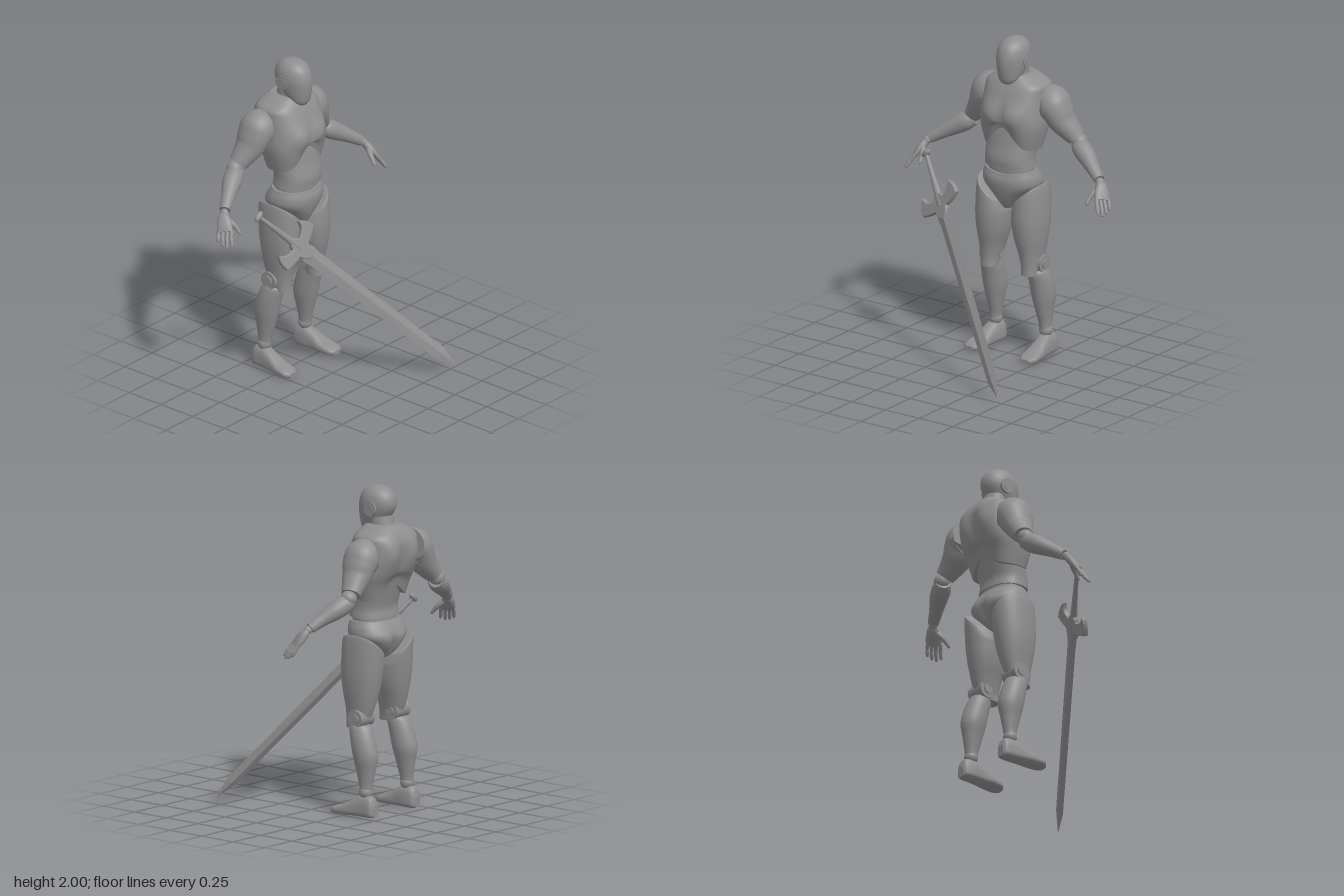
import * as THREE from 'three';

const V = (x, y, z) => new THREE.Vector3(x, y, z);
const bump = (d, w) => Math.exp(-((d / w) ** 2));
const sPow = (v, p) => Math.sign(v) * Math.abs(v) ** (2 / p);

// Lofted skin through rows [x, y, z, sideRadius, frontRadius, backRadius?]
function loft(rows, { front = V(0, 0, 1), axis = null, side = 1, n = 32, pow = 2, steps = 6, deform = null, sharp = false } = {}) {
  const centres = new THREE.CatmullRomCurve3(rows.map(r => V(r[0] * side, r[1], r[2])), false, 'catmullrom');
  const radii = new THREE.CatmullRomCurve3(rows.map(r => V(r[3], r[4], r[5] ?? r[4])), false, 'catmullrom');
  const m = (rows.length - 1) * steps, pos = [], idx = [];
  for (let i = 0; i <= m; i++) {
    const c = centres.getPoint(i / m), r = radii.getPoint(i / m);
    const T = axis ? axis.clone() : centres.getTangent(i / m);
    const F = V(front.x * side, front.y, front.z);
    F.addScaledVector(T, -F.dot(T)).normalize();
    const S = T.clone().cross(F);
    for (let j = 0; j < n; j++) {
      const a = j / n * Math.PI * 2, sn = Math.sin(a);
      const p = c.clone().addScaledVector(S, r.x * sPow(Math.cos(a), pow)).addScaledVector(F, (sn > 0 ? r.y : r.z) * sPow(sn, pow));
      if (deform) deform(p);
      pos.push(p.x, p.y, p.z);
      if (i < m) {
        const k = i * n + j, l = i * n + (j + 1) % n;
        idx.push(k, k + n, l, l, k + n, l + n);
      }
    }
  }
  // End caps with their own rim so the edge stays crisp
  for (const [ring, flip] of [[0, false], [m, true]]) {
    const base = pos.length / 3, mid = V(0, 0, 0);
    for (let j = 0; j < n; j++) {
      const q = V(0, 0, 0).fromArray(pos, (ring * n + j) * 3);
      mid.addScaledVector(q, 1 / n);
      pos.push(q.x, q.y, q.z);
    }
    pos.push(mid.x, mid.y, mid.z);
    for (let j = 0; j < n; j++) {
      const a = base + j, b = base + (j + 1) % n;
      idx.push(base + n, flip ? b : a, flip ? a : b);
    }
  }
  let g = new THREE.BufferGeometry();
  g.setAttribute('position', new THREE.Float32BufferAttribute(pos, 3));
  g.setIndex(idx);
  if (sharp) g = g.toNonIndexed();
  g.computeVertexNormals();
  return g;
}

// Level rings, listed bottom to top as [y, centreX, halfWidth, zFront, zBack]
const UP = V(0, 1, 0);
const stack = (rows, o = {}) => loft(rows.map(([y, cx, rx, f, b]) => [cx, y, (f + b) / 2, rx, (f - b) / 2]), { axis: UP, n: 48, ...o });

export function createModel() {
  const model = new THREE.Group();
  const grey = new THREE.MeshStandardMaterial({ color: 0x8e8e8e });
  grey.name = 'clay grey';
  const add = (name, geo, parent = model) => {
    const mesh = new THREE.Mesh(geo, grey);
    mesh.name = name;
    parent.add(mesh);
    return mesh;
  };
  const ball = (name, x, y, z, r, parent) => add(name, new THREE.SphereGeometry(r, 24, 16), parent).position.set(x, y, z);
  const disc = (name, x, y, z, r, w, parent) => add(name, new THREE.CylinderGeometry(r, r, w, 28).rotateZ(Math.PI / 2), parent).position.set(x, y, z);

  // Head and neck
  add('head', stack([
    [1.722, 0, 0.03, -0.215, -0.265], [1.745, 0, 0.058, -0.2, -0.31], [1.79, 0, 0.078, -0.19, -0.38],
    [1.85, 0, 0.092, -0.185, -0.425], [1.9, 0, 0.095, -0.19, -0.436], [1.95, 0, 0.083, -0.21, -0.42],
    [1.985, 0, 0.052, -0.25, -0.38], [2.0, 0, 0.006, -0.305, -0.32]]));
  add('neck', stack([[1.66, 0, 0.085, -0.27, -0.46], [1.74, 0, 0.075, -0.265, -0.43], [1.82, 0, 0.072, -0.26, -0.41]]));
  add('neckCollar', stack([[1.7, 0, 0.086, -0.255, -0.455], [1.735, 0, 0.085, -0.25, -0.44], [1.75, 0, 0.08, -0.255, -0.435]]));

  // Chest shell: arched lower rim, pectorals, shoulder blades and spine groove
  add('chest', stack([
    [1.31, 0, 0.178, -0.185, -0.44], [1.4, 0, 0.2, -0.168, -0.465], [1.48, 0, 0.213, -0.16, -0.5],
    [1.57, 0, 0.207, -0.168, -0.525], [1.66, 0, 0.203, -0.2, -0.525], [1.71, 0, 0.195, -0.225, -0.505],
    [1.745, 0, 0.14, -0.245, -0.48], [1.77, 0, 0.092, -0.26, -0.455]], {
    pow: 2.6, n: 72, deform: p => {
      const y = p.y, low = 1 - THREE.MathUtils.smoothstep(y, 1.31, 1.52);
      if (p.z > -0.33) {
        p.z += 0.02 * bump(Math.abs(p.x) - 0.085, 0.07) * bump(y - 1.535, 0.065) - 0.01 * bump(p.x, 0.015) * bump(y - 1.57, 0.08);
        p.y += 0.15 * low * bump(p.x, 0.1);
      } else {
        p.z += 0.025 * bump(p.x, 0.04) * bump(y - 1.54, 0.14) - 0.015 * bump(Math.abs(p.x) - 0.1, 0.05) * bump(y - 1.6, 0.08);
        p.y += 0.09 * low * bump(p.x, 0.1);
      }
    }
  }));

  // Abdomen, waist joint and pelvis
  add('abdomen', stack([
    [1.2, 0, 0.163, -0.158, -0.405], [1.26, 0, 0.158, -0.155, -0.4], [1.34, 0, 0.163, -0.172, -0.42],
    [1.42, 0, 0.16, -0.185, -0.44], [1.5, 0, 0.13, -0.2, -0.44]], { pow: 2.3 }));
  add('waistJoint', stack([[1.13, 0, 0.15, -0.18, -0.4], [1.22, 0, 0.15, -0.175, -0.395]], { pow: 2.3 }));
  add('pelvis', stack([
    [0.93, 0, 0.03, -0.225, -0.35], [0.96, 0, 0.055, -0.2, -0.4], [1.02, 0, 0.115, -0.172, -0.445],
    [1.08, 0, 0.18, -0.157, -0.46], [1.13, 0, 0.185, -0.155, -0.44], [1.18, 0, 0.168, -0.168, -0.405]], {
    pow: 2.3, deform: p => {
      if (p.z < -0.33) p.z += 0.035 * bump(p.x, 0.025) * bump(p.y - 1.02, 0.09);
      else p.y += 0.015 * THREE.MathUtils.smoothstep(p.y, 1.1, 1.18) * -bump(p.x, 0.1);
    }
  }));

  for (const side of [1, -1]) {
    const word = side > 0 ? 'left' : 'right';
    const leg = new THREE.Group(), arm = new THREE.Group();
    leg.name = word + 'Leg';
    arm.name = word + 'Arm';
    model.add(leg, arm);
    disc('earDisc', side * 0.086, 1.865, -0.325, 0.045, 0.022);
    disc('earHub', side * 0.09, 1.865, -0.325, 0.028, 0.022);

    // Leg: the thigh top is cut on a slant along the hip
    add('thigh', stack([
      [0.53, 0.15, 0.05, -0.21, -0.32], [0.58, 0.15, 0.056, -0.21, -0.365], [0.66, 0.145, 0.07, -0.2, -0.395],
      [0.76, 0.137, 0.092, -0.178, -0.42], [0.86, 0.133, 0.103, -0.166, -0.437], [0.95, 0.131, 0.102, -0.166, -0.447],
      [1.02, 0.13, 0.092, -0.17, -0.452], [1.03, 0.13, 0.08, -0.18, -0.44]], {
      side, pow: 2.2, deform: p => { p.y += (Math.abs(p.x) - 0.13) * 0.9 * THREE.MathUtils.smoothstep(p.y, 0.85, 1.03); }
    }), leg);
    disc('kneeJoint', side * 0.162, 0.595, -0.32, 0.055, 0.125, leg);
    disc('kneePin', side * 0.162, 0.595, -0.32, 0.03, 0.145, leg);
    add('shin', stack([
      [0.16, 0.186, 0.036, -0.338, -0.418], [0.2, 0.184, 0.039, -0.332, -0.423], [0.28, 0.181, 0.052, -0.31, -0.437],
      [0.37, 0.179, 0.069, -0.287, -0.45], [0.46, 0.177, 0.071, -0.268, -0.428], [0.53, 0.172, 0.064, -0.252, -0.4],
      [0.555, 0.17, 0.055, -0.262, -0.38]], { side }), leg);
    ball('ankle', side * 0.187, 0.15, -0.38, 0.042, leg);
    add('foot', loft([
      [0.19, 0.035, -0.456, 0.025, 0.04, 0.03], [0.19, 0.035, -0.435, 0.044, 0.09, 0.035], [0.19, 0.035, -0.37, 0.05, 0.1, 0.035],
      [0.195, 0.035, -0.31, 0.052, 0.075, 0.035], [0.2, 0.03, -0.24, 0.059, 0.04, 0.03], [0.205, 0.025, -0.17, 0.056, 0.022, 0.025],
      [0.205, 0.02, -0.14, 0.03, 0.01, 0.018]], { front: UP, axis: V(0, 0, 1), side, pow: 2.6 }), leg);

    // Arm
    add('upperArm', loft([
      [0.208, 1.597, -0.392, 0.115, 0.105], [0.235, 1.594, -0.392, 0.112, 0.112], [0.265, 1.555, -0.395, 0.095, 0.108],
      [0.295, 1.5, -0.402, 0.082, 0.095], [0.34, 1.445, -0.415, 0.068, 0.075], [0.38, 1.4, -0.428, 0.055, 0.06]], { side }), arm);
    ball('elbow', side * 0.402, 1.38, -0.43, 0.05, arm);
    add('forearm', loft([
      [0.385, 1.365, -0.435, 0.045, 0.045], [0.425, 1.345, -0.415, 0.058, 0.058], [0.48, 1.312, -0.392, 0.056, 0.056],
      [0.55, 1.268, -0.355, 0.043, 0.043], [0.625, 1.218, -0.318, 0.032, 0.034]], { side }), arm);
    ball('wrist', side * 0.638, 1.207, -0.31, 0.026, arm);

    // Hand
    const across = V(-0.48, 0.1, 0.87);
    add('palm', loft([
      [0.64, 1.205, -0.308, 0.02, 0.026], [0.655, 1.185, -0.298, 0.025, 0.036], [0.675, 1.15, -0.277, 0.023, 0.047],
      [0.694, 1.115, -0.257, 0.016, 0.048]], { front: across, side, pow: 2.4, n: 24 }), arm);
    for (let k = 0; k < 4; k++) {
      const o = (k - 1.5) * 0.026, drop = k === 0 ? 0.75 : k === 2 ? 1.05 : 0.95;
      const at = t => [0.692 + across.x * o + 0.055 * t * drop - 0.014 * t * t, 1.118 + across.y * o - 0.082 * t * drop, -0.258 + across.z * o * (1 + 0.15 * t) + 0.035 * t * drop];
      add('finger', loft([[...at(0), 0.013, 0.013], [...at(0.4), 0.011, 0.011], [...at(0.55), 0.012, 0.012], [...at(0.9), 0.009, 0.009], [...at(1), 0.004, 0.004]], { side, n: 12, steps: 3 }), arm);
    }
    add('thumb', loft([[0.652, 1.18, -0.285, 0.017, 0.017], [0.632, 1.15, -0.25, 0.018, 0.018], [0.622, 1.12, -0.222, 0.013, 0.013],
      [0.618, 1.095, -0.202, 0.01, 0.01], [0.617, 1.087, -0.196, 0.004, 0.004]], { side, n: 12, steps: 3 }), arm);
  }

  // Sword, built with its blade along local +y and guard along local x
  const sword = new THREE.Group();
  sword.name = 'sword';
  const dir = V(0.608, -0.685, 0.402).normalize();
  const wide = V(0.75, 0.66, 0);
  wide.addScaledVector(dir, -wide.dot(dir)).normalize();
  sword.applyMatrix4(new THREE.Matrix4().makeBasis(wide, dir, wide.clone().cross(dir)));
  sword.position.set(-0.315, 0.958, 0.002);
  model.add(sword);
  const facet = { n: 4, steps: 1, sharp: true, axis: UP };
  add('blade', loft([[0, 0.05, 0, 0.05, 0.016], [0, 0.09, 0, 0.057, 0.016], [0, 0.14, 0, 0.05, 0.014], [0, 1.21, 0, 0.043, 0.011], [0, 1.34, 0, 0.001, 0.001]], facet), sword);
  add('handle', loft([[0, -0.34, 0, 0.012, 0.012], [0, -0.2, 0, 0.017, 0.016], [0, -0.08, 0, 0.023, 0.02], [0, 0.02, 0, 0.03, 0.022]], { n: 16 }), sword);
  add('pommel', new THREE.SphereGeometry(1, 20, 12).scale(0.038, 0.02, 0.02), sword).position.y = -0.345;

  // Guard with flared, swept-back ends
  const g = new THREE.Shape();
  g.moveTo(0, 0.11);
  g.quadraticCurveTo(0.045, 0.08, 0.048, 0.035);
  g.quadraticCurveTo(0.1, 0.03, 0.16, 0.005);
  g.quadraticCurveTo(0.16, -0.06, 0.12, -0.095);
  g.quadraticCurveTo(0.115, -0.04, 0.04, -0.03);
  g.quadraticCurveTo(0.03, -0.06, 0, -0.065);
  g.quadraticCurveTo(-0.03, -0.06, -0.04, -0.03);
  g.quadraticCurveTo(-0.115, -0.04, -0.12, -0.095);
  g.quadraticCurveTo(-0.16, -0.06, -0.16, 0.005);
  g.quadraticCurveTo(-0.1, 0.03, -0.048, 0.035);
  g.quadraticCurveTo(-0.045, 0.08, 0, 0.11);
  add('guard', new THREE.ExtrudeGeometry(g, { depth: 0.016, bevelThickness: 0.009, bevelSize: 0.007, bevelOffset: -0.004, bevelSegments: 3, curveSegments: 8 }).translate(0, 0, -0.008), sword);
  return model;
}
